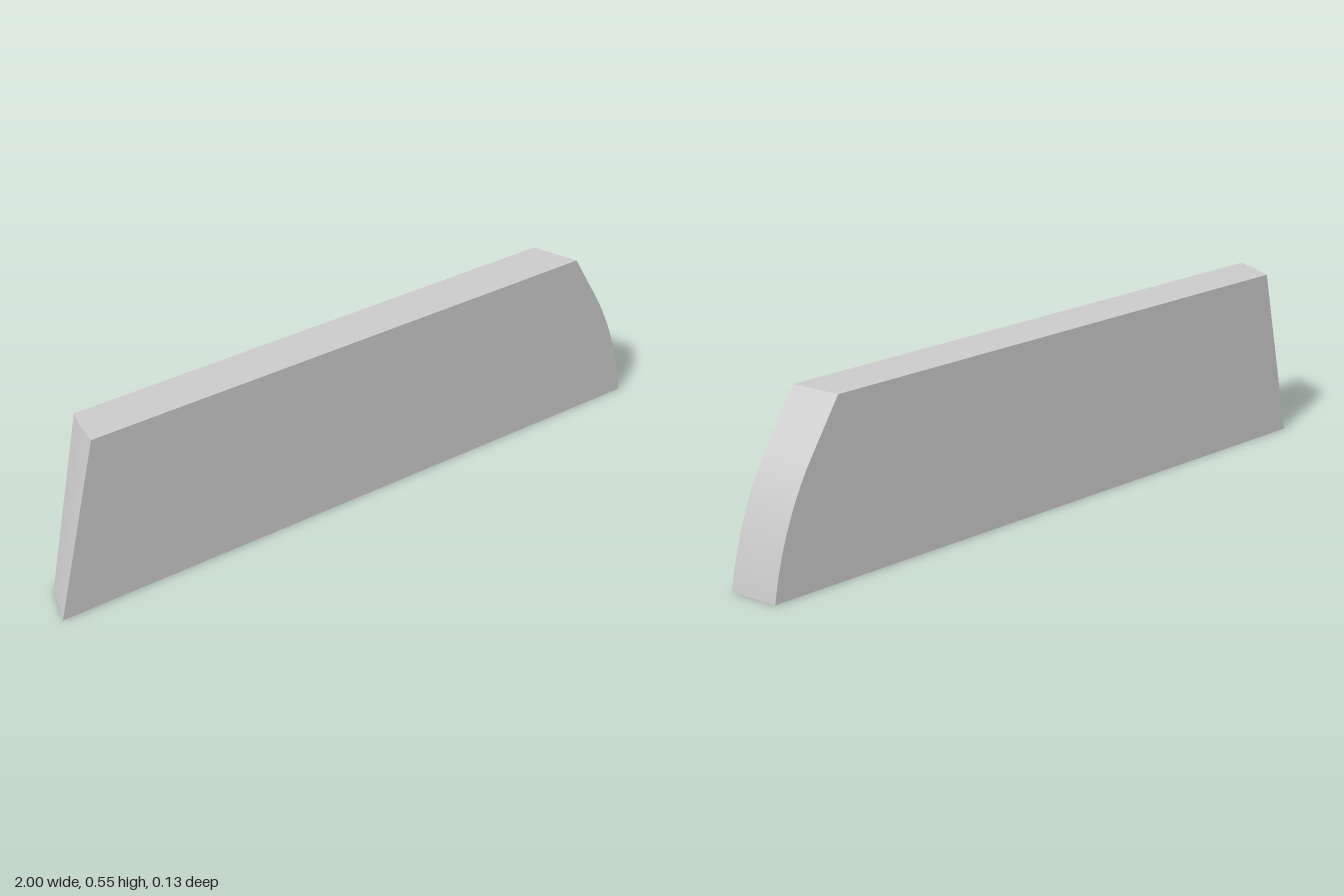
import * as THREE from 'three';
import { toCreasedNormals } from 'three/addons/utils/BufferGeometryUtils.js';

const HEIGHT = 0.55;
const DEPTH = 0.134;

export function createModel() {
  // Front outline: slanted left end, flat top, curved right end
  const outline = new THREE.Shape();
  outline.moveTo(-1, 0);
  outline.lineTo(1, 0);
  outline.quadraticCurveTo(0.965, 0.22, 0.865, 0.395);
  outline.lineTo(0.775, HEIGHT);
  outline.lineTo(-0.865, HEIGHT);
  outline.closePath();

  const geometry = new THREE.ExtrudeGeometry(outline, {
    depth: DEPTH, steps: 6, curveSegments: 16, bevelEnabled: false,
  });
  geometry.translate(0, 0, -DEPTH / 2);

  // Draw both ends inwards towards the back, the left one slightly bowed
  const p = geometry.attributes.position;
  for (let i = 0; i < p.count; i++) {
    const x = p.getX(i);
    const rise = p.getY(i) / HEIGHT;
    const t = 0.5 - p.getZ(i) / DEPTH;
    const left = (0.04 - 0.02 * rise) * t - 0.016 * rise * t * (1 - t);
    p.setX(i, x < 0 ? x + left : x - 0.055 * t);
  }

  const panel = new THREE.Mesh(
    toCreasedNormals(geometry, Math.PI / 7),
    new THREE.MeshStandardMaterial({ color: 0xcccccc }),
  );
  panel.name = 'panel';

  const model = new THREE.Group();
  model.name = 'taperedPanel';
  model.add(panel);
  return model;
}
